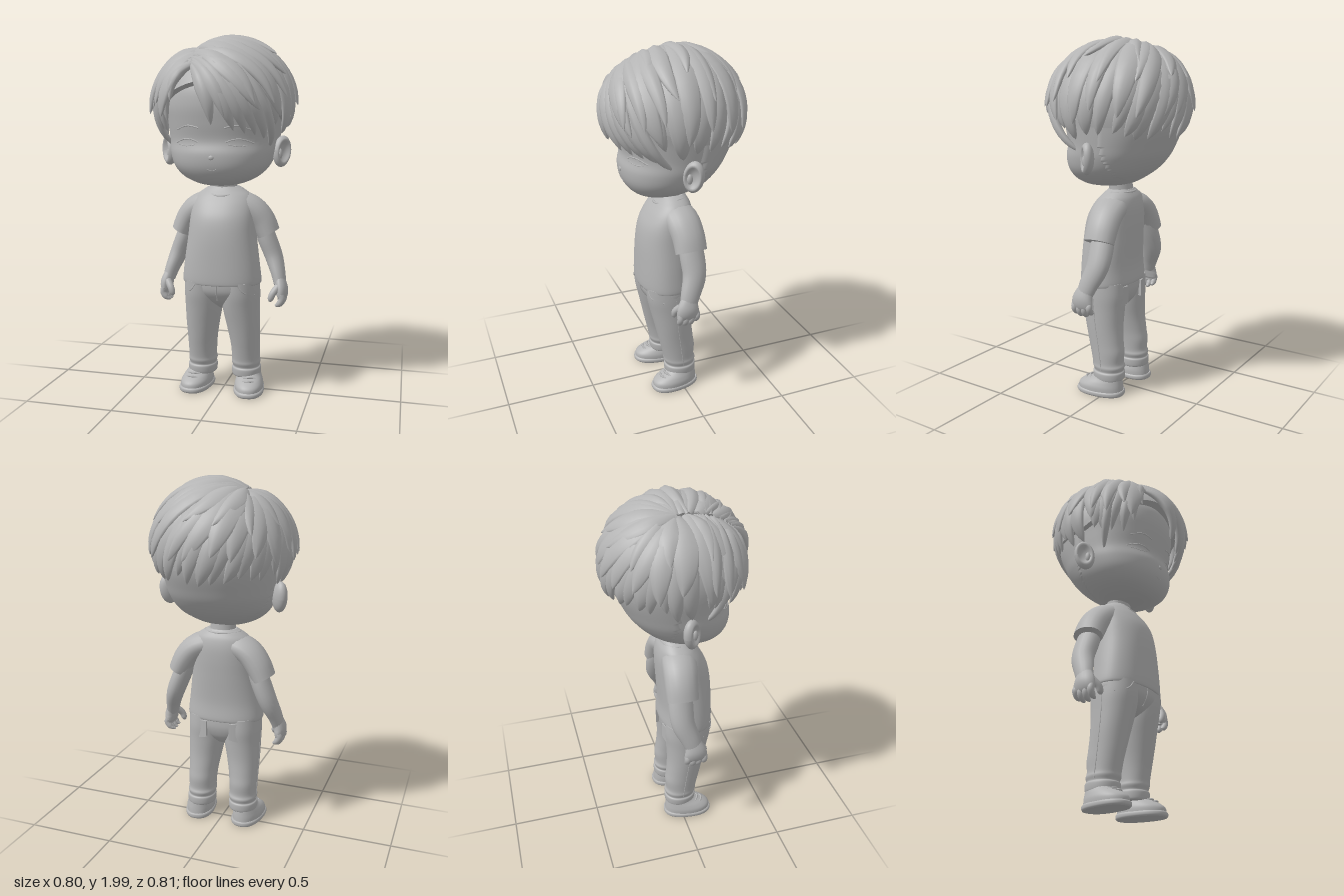
import * as THREE from 'three';

const V = (x, y, z) => new THREE.Vector3(x, y, z);
const clay = new THREE.MeshStandardMaterial({ color: 0xb4b4b4 });
clay.name = 'grey clay';

// Closed surface from rings: u runs along the part, v runs round it; both ends are capped
function rings(nu, nv, fn) {
  const pos = [], idx = [];
  const put = p => pos.push(p.x, p.y, p.z) / 3 - 1;
  for (let i = 0; i <= nu; i++)
    for (let j = 0; j < nv; j++) put(fn(i / nu, (j / nv) * Math.PI * 2));
  for (let i = 0; i < nu; i++)
    for (let j = 0; j < nv; j++) {
      const a = i * nv + j, b = i * nv + (j + 1) % nv;
      idx.push(a, a + nv, b, b, a + nv, b + nv);
    }
  for (const u of [0, 1]) {
    const edge = [], mid = V(0, 0, 0);
    for (let j = 0; j < nv; j++) {
      const p = fn(u, (j / nv) * Math.PI * 2);
      mid.addScaledVector(p, 1 / nv);
      edge.push(put(p));
    }
    const c = put(mid);
    edge.forEach((e, j) => {
      const f = edge[(j + 1) % nv];
      idx.push(c, u ? f : e, u ? e : f);
    });
  }
  const g = new THREE.BufferGeometry();
  g.setAttribute('position', new THREE.Float32BufferAttribute(pos, 3));
  g.setIndex(idx);
  g.computeVertexNormals();
  return g;
}

// Smooth interpolation through a short table of numbers
function sample(rows, t) {
  const f = t * (rows.length - 1), i = Math.min(Math.floor(f), rows.length - 2), k = f - i;
  const at = n => rows[Math.max(0, Math.min(rows.length - 1, n))];
  return rows[i].map((b, c) => {
    const a = at(i - 1)[c], d = at(i + 1)[c], e = at(i + 2)[c];
    return b + 0.5 * k * (d - a + k * (2 * a - 5 * b + 4 * d - e + k * (3 * (b - d) + e - a)));
  });
}

// Horizontal sections: rows are [y, centre x, half width, front z, back z]
function sectionPoint(rows, t, v, p = 2.2) {
  const [y, cx, rx, zf, zb] = sample(rows, t), c = Math.cos(v), s = Math.sin(v);
  const e = w => Math.sign(w) * Math.pow(Math.abs(w), 2 / p);
  return V(cx + rx * e(c), y, (zf + zb) / 2 + (zf - zb) / 2 * e(s));
}
const loft = (rows, p = 2.2, nu = 36, nv = 40) => rings(nu, nv, (u, v) => sectionPoint(rows, u, v, p));

// Limb along a path: points are [x, y, z, radius across, radius in z]
function limb(pts, nu = 18, nv = 18) {
  return rings(nu, nv, (u, v) => {
    const [x, y, z, ra, rb] = sample(pts, u);
    const a = sample(pts, Math.max(0, u - 0.01)), b = sample(pts, Math.min(1, u + 0.01));
    const t = V(b[0] - a[0], b[1] - a[1], b[2] - a[2]).normalize();
    const n = V(0, 0, 1).addScaledVector(t, -t.z).normalize();
    const s = n.clone().cross(t);
    return V(x, y, z).addScaledVector(n, rb * Math.cos(v)).addScaledVector(s, ra * Math.sin(v));
  });
}
const cord = (pts, r) => new THREE.TubeGeometry(new THREE.CatmullRomCurve3(pts), 16, r, 6);

// Dished disc for the outer ear, facing +z
function earGeometry() {
  const g = new THREE.SphereGeometry(1, 28, 22).rotateX(Math.PI / 2), p = g.attributes.position;
  for (let i = 0; i < p.count; i++) {
    const z = p.getZ(i), r = Math.hypot(p.getX(i), p.getY(i));
    if (z > 0) p.setZ(i, z * (0.1 + 0.9 * Math.min(1, (r / 0.75) ** 3)));
  }
  g.scale(0.056, 0.086, 0.038);
  g.computeVertexNormals();
  return g;
}

// Patch pocket curved round the seat, centred at x, with a pointed lower edge
function pocketGeometry(x) {
  const g = new THREE.BoxGeometry(0.094, 0.095, 0.02, 10, 6, 1), p = g.attributes.position;
  for (let i = 0; i < p.count; i++) {
    const px = p.getX(i), py = p.getY(i);
    const bow = Math.pow(1 - Math.pow(Math.abs(px + x) / 0.215, 2.2), 1 / 2.2);
    p.setXYZ(i, px + x, py < 0 ? py - 0.014 * (1 - Math.abs(px) / 0.047) : py, 0.053 - 0.14 * bow + p.getZ(i));
  }
  g.computeVertexNormals();
  return g;
}

// Hair volume and the parting line on it
const HC = V(0, 1.6, 0), HE = V(0.378, 0.355, 0.385);
function partingDir(s) {
  const x = (-0.135 + 0.03 * s) / HE.x, z = (-0.03 + 0.31 * s) / HE.z;
  return V(x, Math.sqrt(1 - x * x - z * z), z);
}
function tipDir(deg, y) {
  const a = THREE.MathUtils.degToRad(deg), h = (y - HC.y) / HE.y, r = Math.sqrt(1 - h * h);
  return V(Math.sin(a) * r, h, Math.cos(a) * r);
}
// Tapered lock sweeping over the hair volume from the parting to a pointed tip
function lock(s, deg, tipY, width, k0, k1, bend = 0, thick = 0.028) {
  const from = partingDir(s), to = tipDir(deg, tipY);
  const side = from.clone().cross(to).normalize();
  const path = u => from.clone().lerp(to, u).normalize()
    .addScaledVector(side, bend * Math.sin(Math.PI * u)).normalize()
    .multiplyScalar(k0 + (k1 - k0) * u * u + 0.04 * Math.sin(Math.PI * Math.min(1, u * 1.1)))
    .multiply(HE).add(HC);
  return rings(18, 14, (u, v) => {
    const p = path(u), t = path(u + 0.01).sub(path(u - 0.01)).normalize();
    const out = p.clone().sub(HC).divide(HE).divide(HE);
    const n = out.addScaledVector(t, -out.dot(t)).normalize(), b = n.clone().cross(t);
    const taper = Math.pow(Math.max(0, 1 - Math.pow(u, 2.4)), 0.9);
    const w = width * Math.min(1, 0.3 + 1.5 * u) * taper;
    const h = thick * Math.min(1, 0.5 + 1.5 * u) * Math.pow(taper, 0.7) * (1 + 0.14 * Math.cos(5 * v));
    return p.addScaledVector(n, h * Math.cos(v)).addScaledVector(b, w * Math.sin(v));
  });
}

export function createModel() {
  const model = new THREE.Group();
  const add = (name, geo, parent = model) => {
    const m = new THREE.Mesh(geo, clay);
    m.name = name;
    parent.add(m);
    return m;
  };
  const both = (name, build) => [['left', 1], ['right', -1]].forEach(([label, s]) => {
    const g = new THREE.Group();
    g.name = label + name;
    build(g, s);
    model.add(g);
  });
  // Mirror a geometry across x, keeping faces outward
  const flip = (geo, s) => {
    if (s > 0) return geo;
    geo.scale(-1, 1, 1);
    const ix = geo.index.array;
    for (let i = 0; i < ix.length; i += 3) [ix[i], ix[i + 1]] = [ix[i + 1], ix[i]];
    geo.computeVertexNormals();
    return geo;
  };

  // Head and neck
  const head = [[1.187, 0, 0.06, 0.16, 0.06], [1.2, 0, 0.13, 0.205, -0.05], [1.235, 0, 0.205, 0.25, -0.12],
    [1.29, 0, 0.26, 0.282, -0.195], [1.36, 0, 0.288, 0.29, -0.255], [1.43, 0, 0.298, 0.276, -0.292],
    [1.52, 0, 0.31, 0.292, -0.33], [1.62, 0, 0.32, 0.305, -0.345], [1.72, 0, 0.3, 0.29, -0.32],
    [1.82, 0, 0.23, 0.22, -0.24], [1.89, 0, 0.1, 0.1, -0.1]];
  add('head', loft(head, 2.2, 50, 56));
  add('neck', limb([[0, 1.1, -0.005, 0.085, 0.07], [0, 1.16, 0, 0.073, 0.064], [0, 1.24, 0.01, 0.075, 0.066]]));

  // Face details laid on the head surface
  const onFace = (x, y) => {
    let lo = 0, hi = 1;
    for (let i = 0; i < 24; i++) {
      const m = (lo + hi) / 2;
      if (sample(head, m)[0] < y) lo = m; else hi = m;
    }
    const [, , rx, zf, zb] = sample(head, lo);
    return V(x, y, (zf + zb) / 2 + (zf - zb) / 2 * Math.pow(1 - Math.pow(Math.abs(x) / rx, 2.2), 1 / 2.2));
  };
  const faceLine = (name, pts, r, parent) => add(name, cord(pts.map(p => onFace(...p)), r), parent);
  both('FaceSide', (g, s) => {
    faceLine('closedEye', [[s * 0.075, 1.425], [s * 0.11, 1.438], [s * 0.155, 1.44], [s * 0.21, 1.42]], 0.004, g);
    faceLine('lowerLid', [[s * 0.09, 1.412], [s * 0.14, 1.404], [s * 0.19, 1.41]], 0.0025, g);
    faceLine('eyebrow', [[s * 0.07, 1.5], [s * 0.13, 1.511], [s * 0.2, 1.49]], 0.004, g);
    const ear = add('ear', earGeometry(), g);
    ear.position.set(s * 0.323, 1.368, 0.002);
    ear.rotation.set(0, s * 0.85, -s * 0.15);
    const fold = add('earFold', new THREE.SphereGeometry(1, 14, 10), g);
    fold.scale.set(0.014, 0.03, 0.016);
    fold.position.set(s * 0.315, 1.355, 0.02);
  });
  faceLine('mouth', [[-0.025, 1.283], [0, 1.278], [0.025, 1.283]], 0.002);
  const nose = add('nose', new THREE.SphereGeometry(1, 14, 10));
  nose.scale.set(0.014, 0.012, 0.006);
  nose.position.copy(onFace(0, 1.345));

  // Close-cropped hair on the back of the head
  add('undercut', rings(90, 96, (u, v) => {
    const t = 0.07 + 0.6 * u, p = sectionPoint(head, t, v);
    const edge = -0.05 - 0.26 * Math.max(0, 1.4 - p.y) + 0.003 * Math.sin(p.y * 150);
    const k = p.z < edge ? 1.018 : 0.97;
    return V(p.x * k, p.y, p.z * k);
  }));

  // Hair cap beneath the locks, raised above the forehead
  add('hairCap', rings(20, 48, (u, v) => {
    const front = Math.max(0, Math.sin(v)), low = 1.53 + 0.22 * Math.pow(front, 1.2);
    const h0 = Math.asin((low - HC.y) / HE.y), h = h0 + (1.55 - h0) * u;
    return V(Math.cos(v) * Math.cos(h), Math.sin(h), Math.sin(v) * Math.cos(h)).multiplyScalar(0.94).multiply(HE).add(HC);
  }));

  // Layers of locks radiating from the parting, flatter on the short side
  let seed = 7;
  const rnd = () => (seed = (seed * 16807) % 2147483647) / 2147483647 - 0.5;
  const hair = new THREE.Group();
  hair.name = 'hair';
  model.add(hair);
  const rootFor = deg => Math.max(0, Math.cos(THREE.MathUtils.degToRad(deg))) * 0.85;
  const layer = (name, n, a0, a1, y, width, k0, k1) => {
    for (let i = 0; i < n; i++) {
      const deg = a0 + (a1 - a0) * i / (n - 1) + rnd() * 6, low = deg > 200 ? 0.03 : 0;
      add(name, lock(rootFor(deg), deg, y + rnd() * 0.08, width * (1 + rnd() * 0.3), k0 - low, k1 + rnd() * 0.05, rnd() * 0.16), hair);
    }
  };
  layer('lowerLock', 21, 68, 292, 1.475, 0.078, 0.95, 0.955);
  layer('middleLock', 16, 44, 316, 1.58, 0.078, 0.965, 1.045);
  layer('upperLock', 8, 75, 285, 1.74, 0.064, 0.965, 1.08);

  // Fringe and loose tufts: [root, angle, tip height, width, tip distance, bend]
  [[1, 3, 1.51, 0.05, 0.95, 0.1], [0.95, 14, 1.55, 0.055, 1, 0.1], [0.9, 22, 1.48, 0.055, 0.95, 0.08],
    [0.85, 33, 1.46, 0.055, 0.93, 0.1], [0.75, 44, 1.45, 0.055, 0.93, 0.08], [0.65, 56, 1.43, 0.055, 0.93, 0.05],
    [0.9, 36, 1.62, 0.055, 1.09, 0.15], [0.75, 52, 1.62, 0.055, 1.1, 0.15], [0.6, 66, 1.65, 0.055, 1.11, 0.12],
    [0.5, 50, 1.8, 0.05, 1.08, 0.1], [0.2, 84, 1.855, 0.05, 1.13, 0.1], [0, 140, 1.83, 0.05, 1.07, -0.1],
    [0.95, -34, 1.64, 0.04, 1.01, -0.1], [0.9, -41, 1.53, 0.045, 0.98, -0.1], [0.85, -50, 1.47, 0.05, 0.95, -0.1],
    [0.75, -61, 1.48, 0.055, 0.95, -0.08], [0.8, -50, 1.62, 0.055, 1.07, -0.12], [0.65, -64, 1.57, 0.055, 1.09, -0.1],
    [0.45, -76, 1.6, 0.055, 1.08, -0.05],
    [0.5, 71, 1.385, 0.04, 0.94, 0], [0.5, -71, 1.385, 0.04, 0.94, 0],
  ].forEach(([s, deg, y, w, k, b]) => add('fringeLock', lock(s, deg, y, w, deg < 0 ? 0.945 : 0.965, k, b), hair));

  // Shirt and neckline
  add('shirt', loft([[0.643, 0, 0.208, 0.192, -0.082], [0.648, 0, 0.222, 0.205, -0.096], [0.75, 0, 0.212, 0.205, -0.09],
    [0.9, 0, 0.192, 0.198, -0.1], [1.0, 0, 0.183, 0.18, -0.106], [1.07, 0, 0.175, 0.145, -0.105],
    [1.12, 0, 0.155, 0.107, -0.095], [1.15, 0, 0.12, 0.08, -0.08], [1.172, 0, 0.082, 0.062, -0.064]], 2.25, 44, 48));
  const neckline = [...Array(24)].map((_, i) => {
    const a = i / 24 * Math.PI * 2, f = Math.max(0, Math.sin(a));
    return V(0.1 * Math.cos(a), 1.157 - 0.032 * f, Math.sin(a) * (f > 0 ? 0.1 : 0.072));
  });
  add('collar', new THREE.TubeGeometry(new THREE.CatmullRomCurve3(neckline, true), 60, 0.007, 8, true));

  both('Arm', (g, s) => {
    const part = (name, pts) => add(name, flip(limb(pts), s), g);
    part('sleeve', [[0.03, 1.085, 0, 0.06, 0.08], [0.1, 1.075, -0.002, 0.07, 0.095], [0.165, 1.04, -0.01, 0.073, 0.096],
      [0.215, 0.98, -0.018, 0.071, 0.092], [0.25, 0.91, -0.02, 0.064, 0.09]]);
    part('arm', [[0.2, 0.98, -0.025, 0.05, 0.06], [0.238, 0.88, -0.03, 0.053, 0.07], [0.278, 0.78, -0.028, 0.05, 0.066],
      [0.31, 0.69, 0.005, 0.04, 0.056], [0.325, 0.63, 0.025, 0.034, 0.048]]);
    part('palm', [[0.322, 0.66, 0.02, 0.03, 0.046], [0.335, 0.61, 0.03, 0.034, 0.062],
      [0.336, 0.57, 0.03, 0.028, 0.064], [0.328, 0.55, 0.03, 0.016, 0.05]]);
    for (let i = 0; i < 4; i++) {
      const z = 0.078 - 0.032 * i, d = i === 3 ? 0.015 : i === 0 ? 0.008 : 0;
      part('finger', [[0.338, 0.585, z, 0.017, 0.018], [0.344, 0.55 + d, z, 0.018, 0.018],
        [0.328, 0.523 + d, z, 0.016, 0.016], [0.308, 0.512 + d, z, 0.006, 0.006]]);
    }
    part('thumb', [[0.32, 0.625, 0.065, 0.02, 0.02], [0.295, 0.59, 0.088, 0.019, 0.019],
      [0.284, 0.56, 0.092, 0.016, 0.016], [0.282, 0.545, 0.09, 0.006, 0.006]]);
  });

  // Trousers
  add('trouserHips', loft([[0.485, 0, 0.05, 0.07, -0.02], [0.515, 0, 0.11, 0.12, -0.05], [0.55, 0, 0.165, 0.158, -0.071],
    [0.6, 0, 0.21, 0.187, -0.084], [0.665, 0, 0.21, 0.193, -0.084]], 2.2));
  add('flySeam', cord([V(0, 0.65, 0.193), V(0, 0.6, 0.186), V(0, 0.55, 0.158)], 0.005));
  both('Leg', (g, s) => {
    add('trouserLeg', flip(loft([[0.085, 0.13, 0.07, 0.075, -0.08], [0.093, 0.13, 0.081, 0.087, -0.093],
      [0.13, 0.13, 0.083, 0.091, -0.095], [0.142, 0.129, 0.076, 0.084, -0.088], [0.165, 0.128, 0.082, 0.093, -0.094],
      [0.19, 0.128, 0.079, 0.095, -0.086], [0.25, 0.127, 0.081, 0.108, -0.09], [0.31, 0.124, 0.085, 0.122, -0.082],
      [0.4, 0.117, 0.095, 0.142, -0.074], [0.5, 0.108, 0.105, 0.165, -0.077], [0.58, 0.106, 0.108, 0.182, -0.083],
      [0.655, 0.104, 0.107, 0.188, -0.08]], 2.1, 54), s), g);
    add('sideSeam', cord([V(s * 0.212, 0.6, 0.05), V(s * 0.212, 0.45, 0.04), V(s * 0.208, 0.3, 0.02), V(s * 0.207, 0.15, 0)], 0.003), g);
    add('frontPocketSeam', cord([V(s * 0.12, 0.645, 0.185), V(s * 0.15, 0.605, 0.174), V(s * 0.2, 0.585, 0.115)], 0.004), g);
    const pocket = add('backPocket', pocketGeometry(s * 0.115), g);
    pocket.position.y = 0.585;

    // Shoe, toes turned slightly out
    const shoe = new THREE.Group();
    shoe.name = 'shoe';
    shoe.position.x = s * 0.148;
    shoe.rotation.y = s * 0.14;
    g.add(shoe);
    add('sole', loft([[0, 0, 0.08, 0.174, -0.1], [0.008, 0, 0.086, 0.181, -0.104], [0.022, 0, 0.086, 0.181, -0.104],
      [0.029, 0, 0.08, 0.174, -0.1]], 2.4, 12), shoe);
    add('shoeUpper', loft([[0.02, 0, 0.081, 0.174, -0.097], [0.05, 0, 0.081, 0.17, -0.095], [0.075, 0, 0.073, 0.138, -0.092],
      [0.1, 0, 0.062, 0.085, -0.088], [0.13, 0, 0.055, 0.05, -0.082]], 2.2, 20), shoe);
    for (let i = 0; i < 3; i++) {
      const y = 0.084 + i * 0.013, z = 0.122 - i * 0.026;
      add('lace', cord([V(-0.04, y - 0.01, z - 0.012), V(0, y, z + 0.006), V(0.04, y - 0.01, z - 0.012)], 0.006), shoe);
    }
  });
  return model;
}
